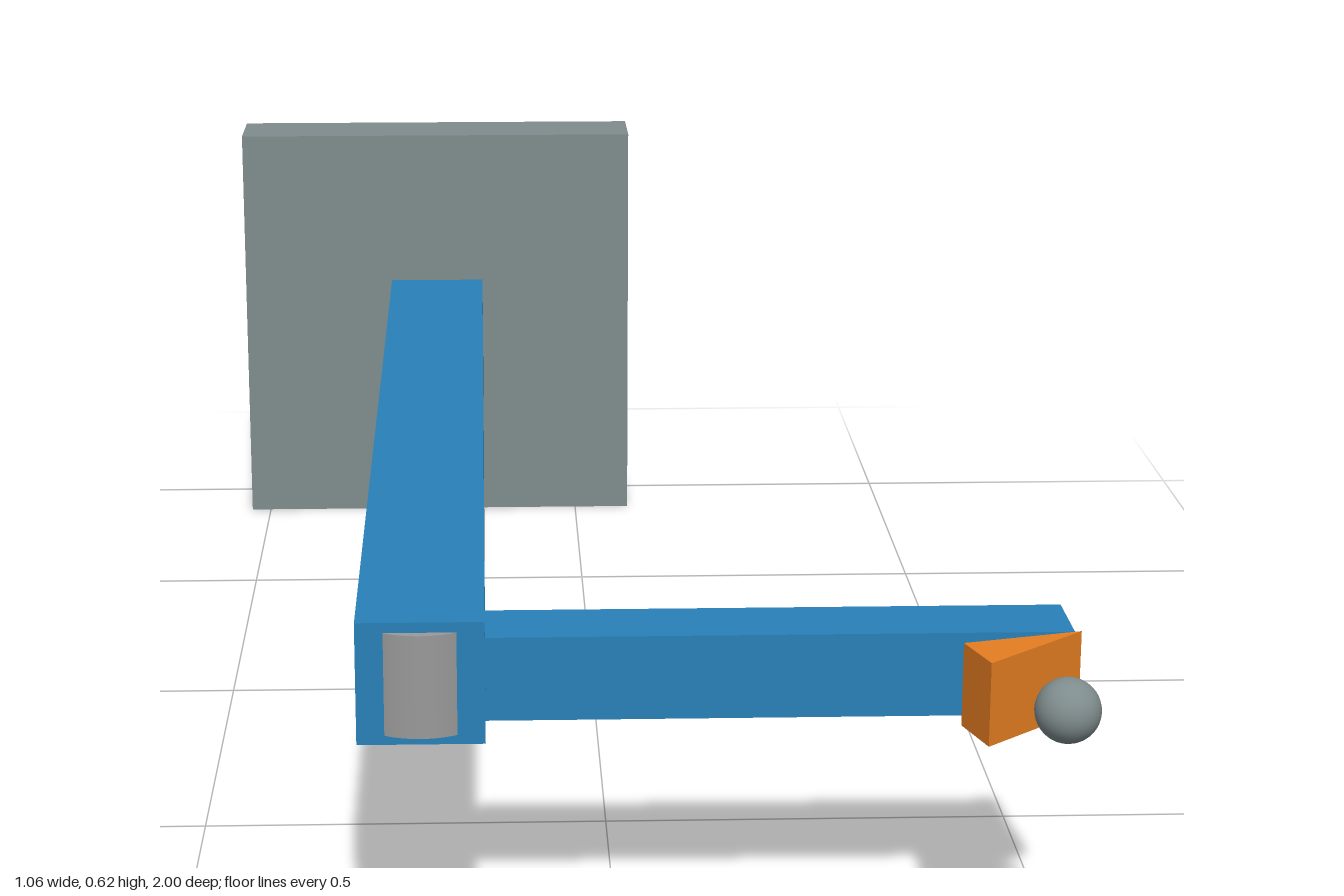
import * as THREE from 'three';

const paint = (color) => new THREE.MeshStandardMaterial({ color });
const grey = paint(0x7f8c8d);
const paleGrey = paint(0x999999);
const blue = paint(0x2980b9);
const orange = paint(0xe67e22);

export function createModel() {
  const model = new THREE.Group();

  const add = (name, geometry, material) => {
    const mesh = new THREE.Mesh(geometry, material);
    mesh.name = name;
    model.add(mesh);
    return mesh;
  };

  // Box given by its limits on each axis
  const addBox = (name, [x0, x1], [y0, y1], [z0, z1], material) =>
    add(name, new THREE.BoxGeometry(x1 - x0, y1 - y0, z1 - z0), material)
      .position.set((x0 + x1) / 2, (y0 + y1) / 2, (z0 + z1) / 2);

  // Wall plate, long upper arm and short forearm
  addBox('basePlate', [-0.53, 0.086], [0, 0.62], [-1, -0.88], grey);
  addBox('upperArm', [-0.295, -0.149], [0.239, 0.384], [-0.88, 0.855], blue);
  addBox('forearm', [-0.149, 0.518], [0.261, 0.36], [0.742, 0.84], blue);

  // Elbow joint: curved face bulging slightly from the arm's end
  const radius = 0.077;
  const halfAngle = 0.57;
  add('elbowJoint', new THREE.CylinderGeometry(radius, radius, 0.122, 16, 1, false, -halfAngle, 2 * halfAngle), paleGrey)
    .position.set(-0.222, 0.311, 0.79);

  // Wedge-shaped gripper, outlined in plan and extruded upwards
  const plan = [[0.526, 0.838], [0.387, 0.875], [0.408, 0.944]];
  const wedge = new THREE.Shape(plan.map(([x, z]) => new THREE.Vector2(x, -z)));
  const wedgeGeometry = new THREE.ExtrudeGeometry(wedge, { depth: 0.098, bevelEnabled: false });
  wedgeGeometry.rotateX(-Math.PI / 2);
  add('gripper', wedgeGeometry, orange).position.y = 0.262;

  // Ball floating in front of the gripper
  add('ball', new THREE.SphereGeometry(0.037, 32, 20), grey).position.set(0.491, 0.311, 0.963);

  return model;
}
